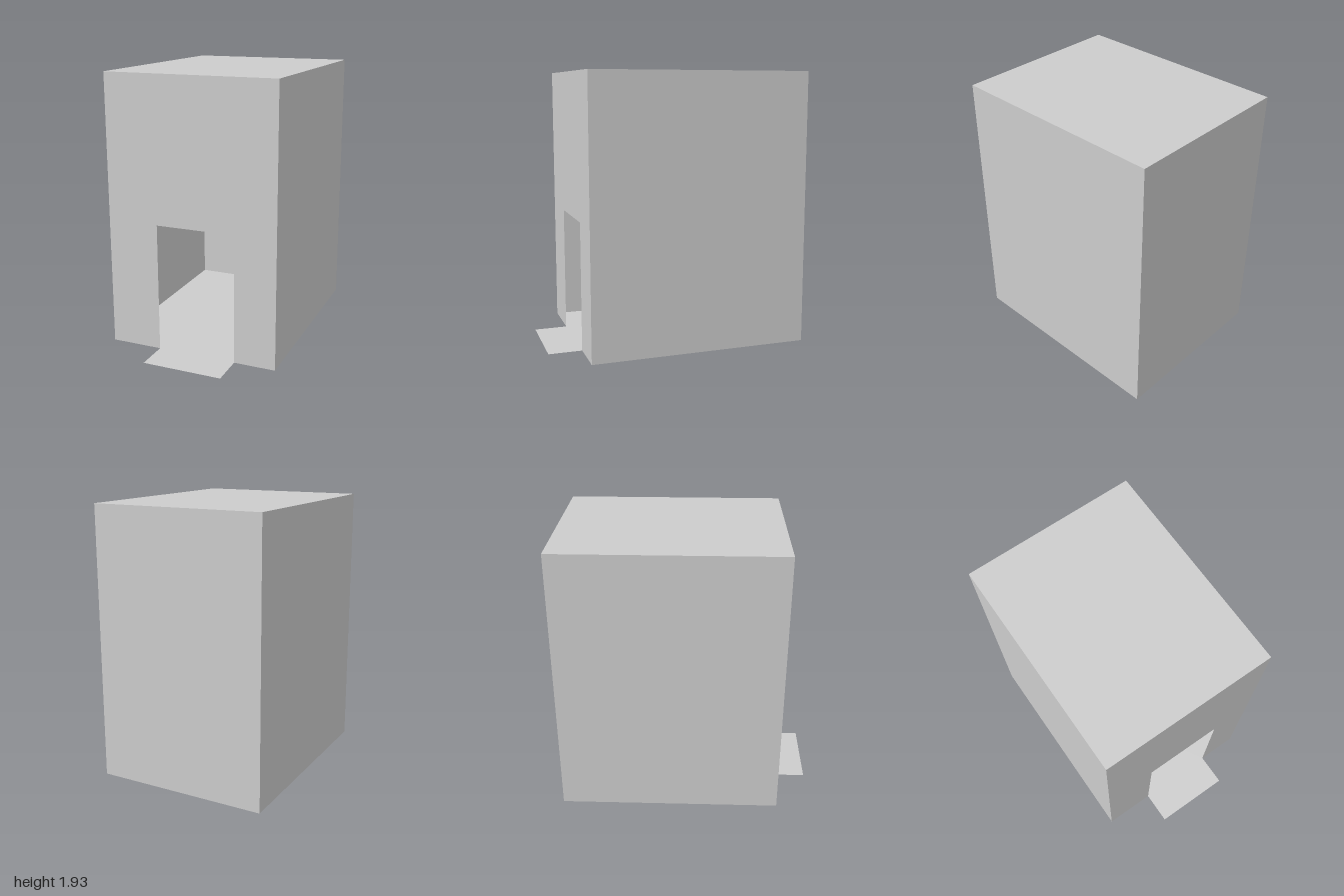
import * as THREE from 'three';

const W = 1.23, D = 1.557, H = 1.93;          // room width, depth, height
const DOOR_L = -0.247, DOOR_R = 0.32, DOOR_H = 0.908, STEP = 0.237;

const outline = (pts) => new THREE.ShapeGeometry(
  new THREE.Shape(pts.map(([x, y]) => new THREE.Vector2(x, y))));

export function createModel() {
  const grey = new THREE.MeshStandardMaterial({ color: 0xcccccc, side: THREE.DoubleSide });
  grey.name = 'plain grey';

  const room = new THREE.Group();
  room.name = 'room';
  const add = (name, geometry, x = 0, y = 0, z = 0) => {
    const mesh = new THREE.Mesh(geometry, grey);
    mesh.name = name;
    mesh.position.set(x, y, z);
    room.add(mesh);
  };
  const w = W / 2, d = D / 2;

  // Front wall with the doorway cut out
  add('frontWall', outline([
    [-w, 0], [DOOR_L, 0], [DOOR_L, DOOR_H], [DOOR_R, DOOR_H],
    [DOOR_R, 0], [w, 0], [w, H], [-w, H],
  ]), 0, 0, d);

  // Closed walls and roof, thin sheets facing outward
  add('backWall', new THREE.PlaneGeometry(W, H).rotateY(Math.PI), 0, H / 2, -d);
  for (const s of [-1, 1]) {
    add(s > 0 ? 'leftWall' : 'rightWall',
      new THREE.PlaneGeometry(D, H).rotateY(s * Math.PI / 2), s * w, H / 2, 0);
  }
  add('roof', new THREE.PlaneGeometry(W, D).rotateX(-Math.PI / 2), 0, H, 0);

  // Floor, running out through the doorway as a doorstep
  add('floor', outline([
    [-w, -d], [w, -d], [w, d], [DOOR_R, d], [DOOR_R, d + STEP],
    [DOOR_L, d + STEP], [DOOR_L, d], [-w, d],
  ]).rotateX(Math.PI / 2));

  // The room stands turned on its plot
  room.rotation.y = -0.318;
  room.position.z = -0.067;

  const model = new THREE.Group();
  model.name = 'building';
  model.add(room);
  return model;
}
